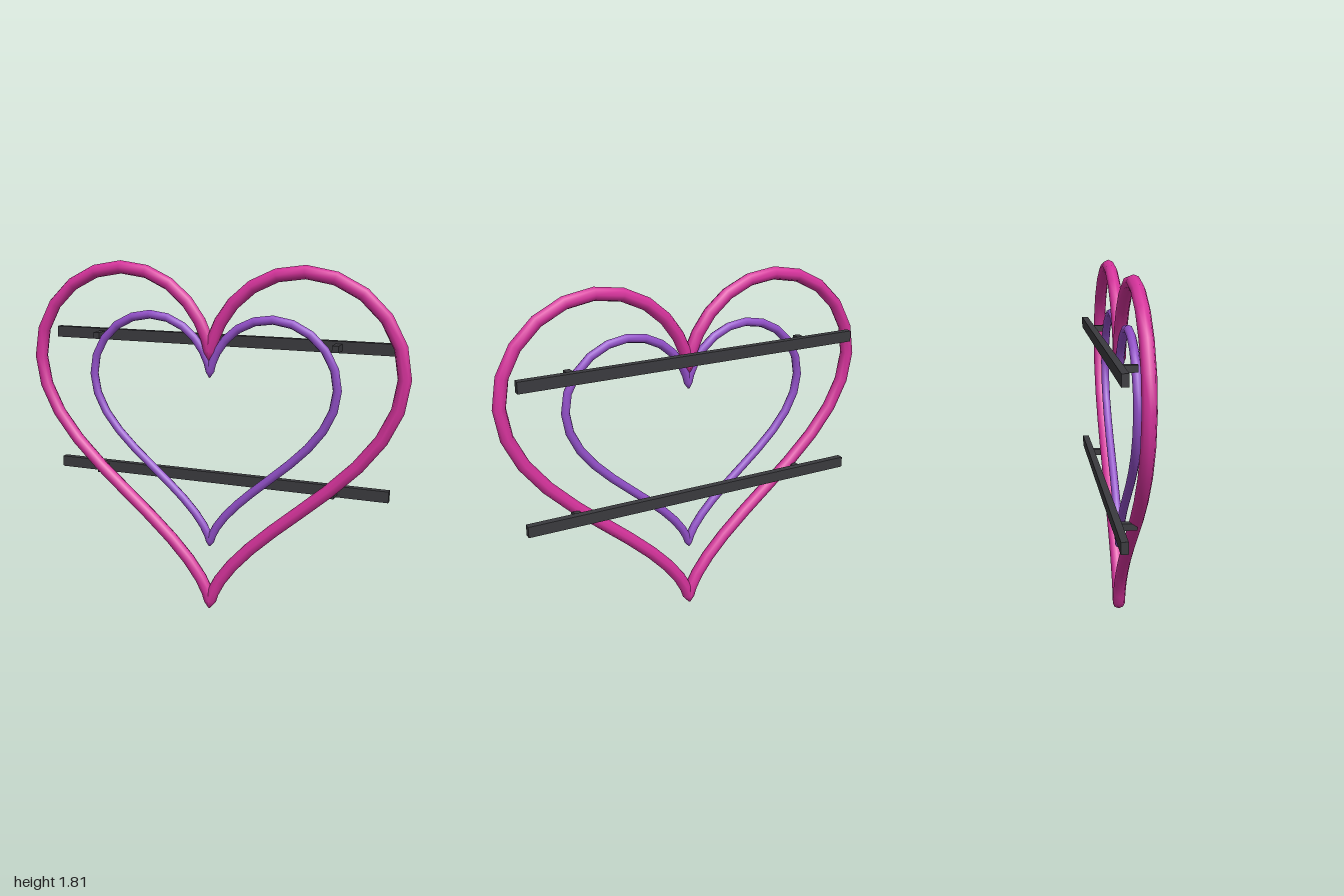
import * as THREE from 'three';

const STEPS = 48; // rings along each heart
const SIDES = 8; // sides of each tube

// Point on the heart outline for a ring number
function heartPoint(i, scale, baseY) {
  const t = (i / STEPS) * Math.PI * 2;
  const x = 16 * Math.sin(t) ** 3;
  const y = 13 * Math.cos(t) - 5 * Math.cos(2 * t) - 2 * Math.cos(3 * t) - Math.cos(4 * t);
  return new THREE.Vector2(x * scale, baseY + y * scale);
}

// Closed tube swept along the heart outline, pinched at the two cusps
function heartTube(scale, baseY, z, radius) {
  const positions = [];
  const index = [];
  for (let i = 0; i < STEPS; i++) {
    const p = heartPoint(i, scale, baseY);
    const tangent = heartPoint(i + 1, scale, baseY).sub(heartPoint(i - 1, scale, baseY)).normalize();
    for (let j = 0; j < SIDES; j++) {
      const a = (j / SIDES) * Math.PI * 2;
      const r = radius * Math.cos(a);
      positions.push(p.x - tangent.y * r, p.y + tangent.x * r, z + radius * Math.sin(a));
      const i2 = (i + 1) % STEPS;
      const j2 = (j + 1) % SIDES;
      const [A, B, C, D] = [i * SIDES + j, i * SIDES + j2, i2 * SIDES + j2, i2 * SIDES + j];
      index.push(A, B, D, B, C, D);
    }
  }
  const geometry = new THREE.BufferGeometry();
  geometry.setAttribute('position', new THREE.Float32BufferAttribute(positions, 3));
  geometry.setIndex(index);
  geometry.computeVertexNormals();
  return geometry;
}

export function createModel() {
  const pink = new THREE.MeshStandardMaterial({ color: 0xd6339c });
  pink.name = 'pink';
  const purple = new THREE.MeshStandardMaterial({ color: 0x9250c8 });
  purple.name = 'purple';
  const darkGrey = new THREE.MeshStandardMaterial({ color: 0x3a3a3e });
  darkGrey.name = 'darkGrey';

  const model = new THREE.Group();
  model.name = 'heartSign';
  const add = (name, geometry, material, x = 0, y = 0, z = 0) => {
    const mesh = new THREE.Mesh(geometry, material);
    mesh.name = name;
    mesh.position.set(x, y, z);
    model.add(mesh);
  };

  // Two nested heart tubes
  add('outerHeart', heartTube(0.0604, 1.06, 0.037, 0.033), pink);
  add('innerHeart', heartTube(0.0407, 1.064, 0.037, 0.022), purple);

  // Two rails behind, each with a pair of short standoffs
  const rail = new THREE.BoxGeometry(1.81, 0.057, 0.034);
  const standoff = new THREE.BoxGeometry(0.033, 0.033, 0.076);
  for (const [label, y] of [['upper', 1.425], ['lower', 0.703]]) {
    add(`${label}Rail`, rail, darkGrey, 0, y, -0.053);
    for (const [side, x] of [['Left', 0.634], ['Right', -0.634]]) {
      add(`${label}${side}Standoff`, standoff, darkGrey, x, y, 0);
    }
  }
  return model;
}
